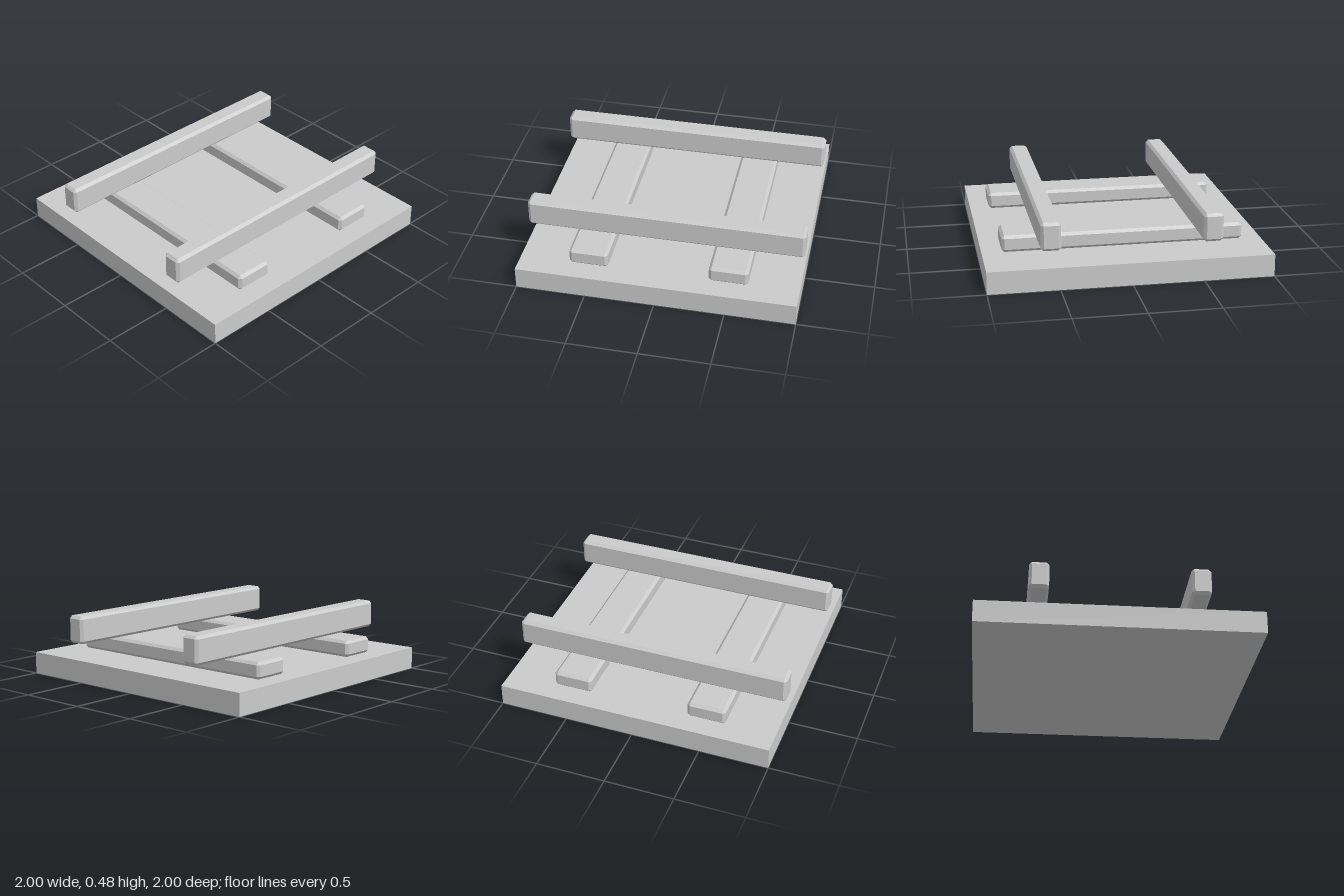
import * as THREE from 'three';
import { ConvexGeometry } from 'three/addons/geometries/ConvexGeometry.js';

const material = new THREE.MeshStandardMaterial({ color: 0xcccccc, flatShading: true });

// Box with every edge and corner cut by a flat chamfer
function chamferedBox(w, h, d, c) {
  const points = [];
  for (const sx of [-1, 1]) for (const sy of [-1, 1]) for (const sz of [-1, 1]) {
    const x = w / 2, y = h / 2, z = d / 2;
    points.push(
      new THREE.Vector3(sx * x, sy * (y - c), sz * (z - c)),
      new THREE.Vector3(sx * (x - c), sy * y, sz * (z - c)),
      new THREE.Vector3(sx * (x - c), sy * (y - c), sz * z)
    );
  }
  return new ConvexGeometry(points);
}

export function createModel() {
  const group = new THREE.Group();
  const add = (name, geometry, x, y, z) => {
    const mesh = new THREE.Mesh(geometry, material);
    mesh.name = name;
    mesh.position.set(x, y, z);
    group.add(mesh);
  };

  // Square base slab
  add('base', new THREE.BoxGeometry(2, 0.16, 2), 0, 0.08, 0);

  // Two low cross beams, with two taller rails laid over them
  const beam = chamferedBox(1.72, 0.12, 0.28, 0.02);
  const rail = chamferedBox(0.14, 0.2, 2, 0.02);
  add('frontCrossBeam', beam, 0, 0.22, 0.5);
  add('backCrossBeam', beam, 0, 0.22, -0.5);
  add('leftRail', rail, 0.56, 0.38, 0);
  add('rightRail', rail, -0.56, 0.38, 0);

  return group;
}
